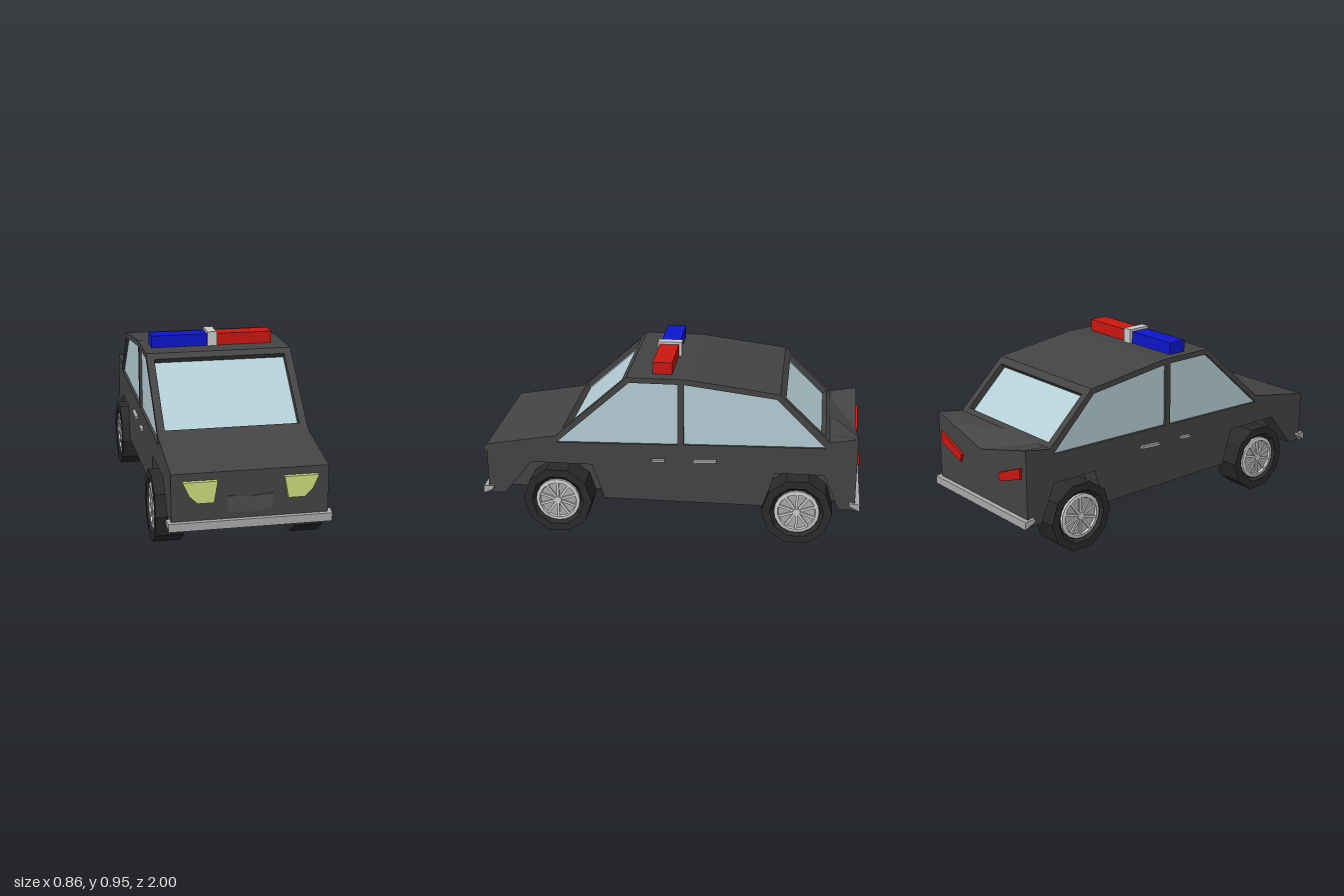
import * as THREE from 'three';

const mat = (color) => new THREE.MeshStandardMaterial({ color, flatShading: true });
const paint = mat(0x444444), glass = mat(0xb5ced5), rubber = mat(0x2a2a2a), chrome = mat(0xcccccc);
const steel = mat(0xaaaaaa), red = mat(0xcc1610), blue = mat(0x0d16cc), lampYellow = mat(0xccdd7c), grilleGrey = mat(0x4e4e4e);

const HALF = 0.386, INNER = 0.347, WELL = 0.28;

function shapeOf(points) {
  return new THREE.Shape(points.map(([a, b]) => new THREE.Vector2(a, b)));
}

function add(parent, name, geometry, material, x = 0, y = 0, z = 0) {
  const mesh = new THREE.Mesh(geometry, material);
  mesh.name = name;
  mesh.position.set(x, y, z);
  parent.add(mesh);
  return mesh;
}

// Side profile of [z, y] points, extruded across the car from x0 to x1
function slab(points, x0, x1, holes = [], steps = 1) {
  const shape = shapeOf(points);
  shape.holes = holes.map((h) => new THREE.Path(h.map(([a, b]) => new THREE.Vector2(a, b))));
  const g = new THREE.ExtrudeGeometry(shape, { depth: x1 - x0, steps, bevelEnabled: false });
  g.rotateY(-Math.PI / 2).translate(x1, 0, 0);
  // The rear edge of the boot lid dips towards the middle
  const p = g.attributes.position;
  for (let i = 0; i < p.count; i++) {
    if (p.getZ(i) < -0.97 && p.getY(i) > 0.5) {
      p.setY(i, p.getY(i) - 0.1 * (1 - Math.abs(p.getX(i)) / HALF));
    }
  }
  g.computeVertexNormals();
  return g;
}

// Front outline of [x, y] points, extruded from z0 to z1
function plate(points, z0, z1) {
  return new THREE.ExtrudeGeometry(shapeOf(points), { depth: z1 - z0, bevelEnabled: false }).translate(0, 0, z0);
}

const mirrorX = (points) => points.map(([x, y]) => [-x, y]).reverse();

function makeBody() {
  const body = new THREE.Group();
  body.name = 'body';
  const arches = [
    [-0.89, 0.185], [-0.81, 0.375], [-0.555, 0.375], [-0.496, 0.185],
    [0.346, 0.185], [0.41, 0.375], [0.737, 0.375], [0.89, 0.185],
  ];
  const nose = [[0.975, 0.185], [0.975, 0.465], [0.6, 0.53]];
  const tail = [[-0.83, 0.56], [-0.975, 0.585], [-0.975, 0.185]];
  const side = [...nose, [0.22, 0.87], [-0.1, 0.87], [-0.57, 0.81], ...tail, ...arches];
  const lower = [...nose, [0.57, 0.557], [0.548, 0.532], [0.53, 0.49], [-0.77, 0.52], [-0.787, 0.555], [-0.81, 0.579], ...tail];
  const roof = [
    [0.248, 0.845], [0.22, 0.87], [-0.1, 0.87], [-0.57, 0.81],
    [-0.6, 0.781], [-0.577, 0.757], [-0.1, 0.835], [0.226, 0.82],
  ];
  const frontWindow = [[0.598, 0.493], [0.206, 0.842], [-0.046, 0.842], [-0.046, 0.508]];
  const rearWindow = [[-0.078, 0.51], [-0.078, 0.842], [-0.555, 0.783], [-0.812, 0.526]];

  add(body, 'lowerBody', slab(lower, -WELL, WELL, [], 2), paint);
  add(body, 'roof', slab(roof, -INNER, INNER), paint);
  for (const s of [-1, 1]) {
    const across = (a, b) => (s > 0 ? [a, b] : [-b, -a]);
    add(body, 'wheelWell', slab([...lower, ...arches], ...across(WELL, INNER)), paint);
    add(body, 'sidePanel', slab(side, ...across(INNER, HALF), [frontWindow, rearWindow]), paint);
    add(body, 'frontSideWindow', slab(frontWindow, ...across(0.355, 0.372)), glass);
    add(body, 'rearSideWindow', slab(rearWindow, ...across(0.355, 0.372)), glass);
    // Door handles
    add(body, 'frontDoorHandle', new THREE.BoxGeometry(0.02, 0.013, 0.066), steel, s * 0.394, 0.418, 0.055).rotation.x = 0.06;
    add(body, 'rearDoorHandle', new THREE.BoxGeometry(0.02, 0.015, 0.12), steel, s * 0.394, 0.426, -0.19).rotation.x = 0.06;
  }
  // Recessed front and rear glass
  add(body, 'windshield', slab([[0.548, 0.532], [0.226, 0.82], [0.219, 0.812], [0.541, 0.524]], -INNER, INNER), glass);
  add(body, 'rearWindow', slab([[-0.577, 0.757], [-0.787, 0.555], [-0.78, 0.548], [-0.57, 0.75]], -INNER, INNER), glass);
  return body;
}

// Bar that wraps round the corners, its ends tapering up to a point
function makeBumper(name) {
  const plan = [
    [-0.408, 0.945], [-0.385, 0.945], [-0.385, 0.97], [0.385, 0.97],
    [0.385, 0.945], [0.408, 0.945], [0.402, 1.0], [-0.402, 1.0],
  ];
  const g = new THREE.ExtrudeGeometry(shapeOf(plan), { depth: 0.041, bevelEnabled: false });
  g.rotateX(Math.PI / 2).translate(0, 0.226, 0);
  const p = g.attributes.position;
  for (let i = 0; i < p.count; i++) {
    if (p.getZ(i) < 0.96) p.setY(i, p.getY(i) < 0.2 ? 0.215 : 0.232);
  }
  g.computeVertexNormals();
  const mesh = new THREE.Mesh(g, steel);
  mesh.name = name;
  return mesh;
}

// Ten-sided wheel with its outer face towards +x
function makeWheel() {
  const wheel = new THREE.Group();
  wheel.name = 'wheel';
  const section = [[0, -0.072], [0.184, -0.072], [0.184, 0.072], [0.142, 0.072], [0.125, 0.05], [0, 0.05]];
  const tyre = new THREE.LatheGeometry(section.map(([r, h]) => new THREE.Vector2(r, h)), 10);
  add(wheel, 'tyre', tyre.rotateZ(-Math.PI / 2), rubber);
  const ring = [[0.094, 0.05], [0.118, 0.05], [0.118, 0.064], [0.1, 0.067], [0.094, 0.05]];
  const rim = new THREE.LatheGeometry(ring.map(([r, h]) => new THREE.Vector2(r, h)), 20);
  add(wheel, 'rim', rim.rotateZ(-Math.PI / 2), chrome);
  add(wheel, 'hubDisc', new THREE.CylinderGeometry(0.1, 0.1, 0.006, 20).rotateZ(-Math.PI / 2), steel, 0.052);
  add(wheel, 'hubCap', new THREE.CylinderGeometry(0.02, 0.026, 0.02, 10).rotateZ(-Math.PI / 2), chrome, 0.06);
  for (let i = 0; i < 10; i++) {
    const spoke = new THREE.BoxGeometry(0.012, 0.085, 0.013).translate(0.058, 0.058, 0);
    add(wheel, 'spoke', spoke.rotateX((i * Math.PI) / 5), chrome);
  }
  return wheel;
}

export function createModel() {
  const car = new THREE.Group();
  car.name = 'car';
  car.add(makeBody());

  // Bumpers
  car.add(makeBumper('frontBumper'));
  const rearBumper = makeBumper('rearBumper');
  rearBumper.rotation.y = Math.PI;
  car.add(rearBumper);

  // Grille and lamps
  const grille = [[-0.113, 0.265], [0, 0.254], [0.111, 0.265], [0.111, 0.342], [0, 0.333], [-0.113, 0.342]];
  add(car, 'grille', plate(grille, 0.965, 0.979), grilleGrey);
  const headlight = [[0.182, 0.32], [0.262, 0.32], [0.302, 0.358], [0.333, 0.427], [0.163, 0.427]];
  const taillight = [[0.175, 0.37], [0.345, 0.428], [0.352, 0.488], [0.165, 0.412]];
  for (const flip of [(p) => p, mirrorX]) {
    add(car, 'headlight', plate(flip(headlight), 0.965, 0.998), lampYellow);
    add(car, 'taillight', plate(flip(taillight), -0.988, -0.965), red);
  }

  // Roof light bar
  const bar = new THREE.Group();
  bar.name = 'lightBar';
  add(bar, 'blueLight', new THREE.BoxGeometry(0.304, 0.066, 0.102), blue, -0.186, 0.9, 0.042);
  add(bar, 'redLight', new THREE.BoxGeometry(0.304, 0.066, 0.102), red, 0.161, 0.9, 0.042);
  add(bar, 'lightBarClamp', new THREE.BoxGeometry(0.05, 0.08, 0.13), chrome, -0.013, 0.906, 0.04);
  car.add(bar);

  // Wheels
  for (const z of [0.592, -0.675]) {
    for (const s of [-1, 1]) {
      const wheel = makeWheel();
      wheel.position.set(s * 0.357, 0.175, z);
      if (s < 0) wheel.rotation.y = Math.PI;
      car.add(wheel);
    }
  }
  return car;
}
